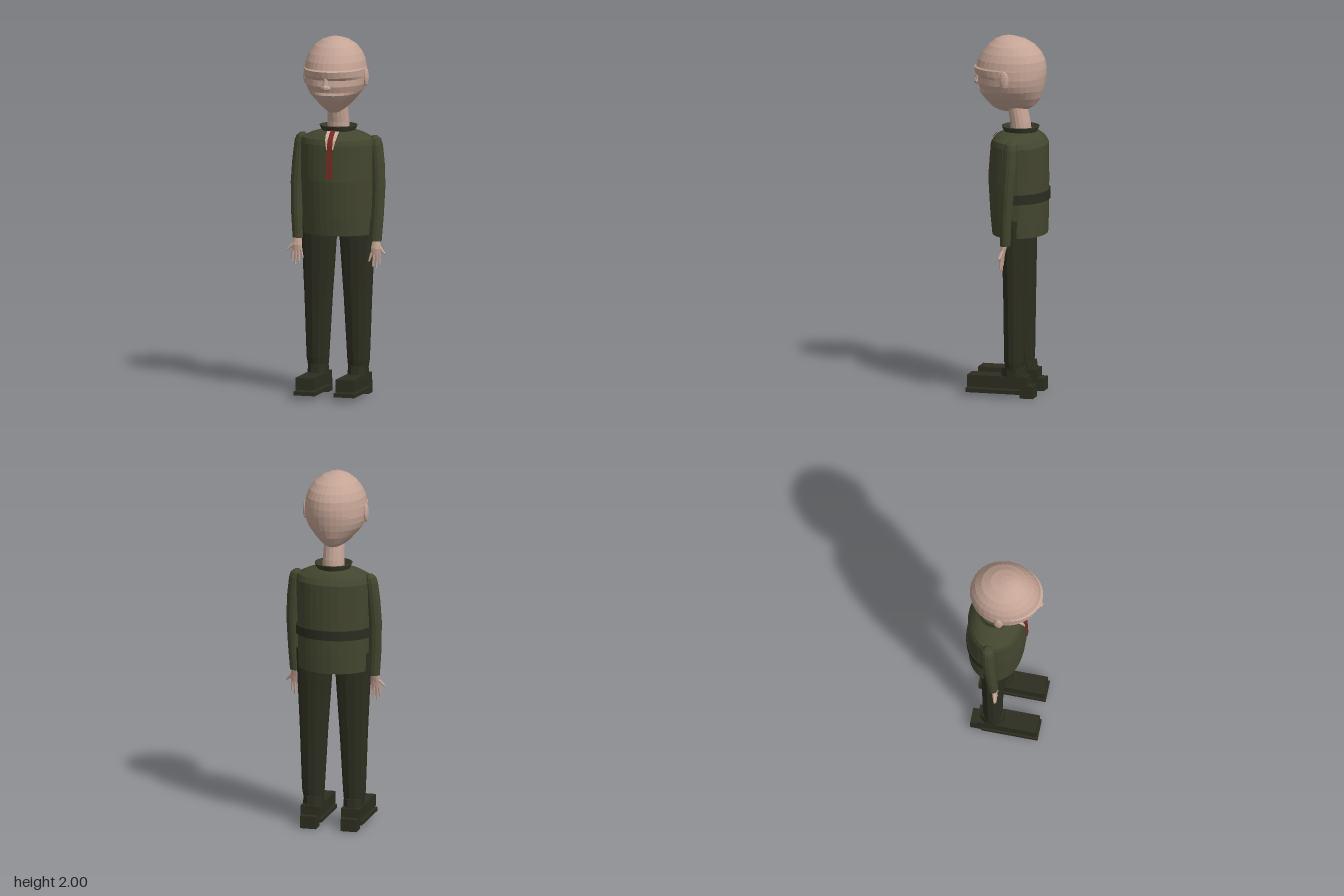
import * as THREE from 'three';

const paint = (name, color, side = THREE.FrontSide) => {
  const m = new THREE.MeshStandardMaterial({ color, flatShading: true, side });
  m.name = name;
  return m;
};

// Closed skin over elliptical rings: [y, centreX, halfWidth, zFront, zBack]
function loft(rings, seg) {
  const pos = [], idx = [], n = rings.length;
  for (const [y, cx, rx, zf, zb] of rings) {
    for (let j = 0; j < seg; j++) {
      const a = ((j + 0.5) / seg) * Math.PI * 2;
      pos.push(cx + rx * Math.sin(a), y, (zf + zb) / 2 + ((zf - zb) / 2) * Math.cos(a));
    }
  }
  for (const r of [rings[0], rings[n - 1]]) pos.push(r[1], r[0], (r[3] + r[4]) / 2);
  for (let j = 0; j < seg; j++) {
    const k = (j + 1) % seg;
    for (let i = 0; i < n - 1; i++) {
      const a = i * seg, b = a + seg;
      idx.push(a + j, a + k, b + k, a + j, b + k, b + j);
    }
    const top = (n - 1) * seg;
    idx.push(n * seg, k, j, n * seg + 1, top + j, top + k);
  }
  const g = new THREE.BufferGeometry();
  g.setAttribute('position', new THREE.Float32BufferAttribute(pos, 3));
  g.setIndex(idx);
  g.computeVertexNormals();
  return g;
}

// Tapered rod between two points
function rod(from, to, r0, r1, sides = 6) {
  const a = new THREE.Vector3(...from), b = new THREE.Vector3(...to);
  const d = b.clone().sub(a);
  const g = new THREE.CylinderGeometry(r1, r0, d.length(), sides);
  g.applyQuaternion(new THREE.Quaternion().setFromUnitVectors(new THREE.Vector3(0, 1, 0), d.normalize()));
  return g.translate(...a.add(b).multiplyScalar(0.5).toArray());
}

// Thin ribbon following a chest profile of [y, z, halfWidth]
function ribbon(profile) {
  const g = new THREE.PlaneGeometry(2, 1, 1, profile.length - 1);
  const p = g.attributes.position;
  for (let i = 0; i < p.count; i++) {
    const [y, z, w] = profile[Math.floor(i / 2)];
    p.setXYZ(i, p.getX(i) * w, y, z);
  }
  g.computeVertexNormals();
  return g;
}

const box = (w, y0, y1, z0, z1, x) =>
  new THREE.BoxGeometry(w, y1 - y0, z1 - z0).translate(x, (y0 + y1) / 2, (z0 + z1) / 2);

export function createModel() {
  const model = new THREE.Group();
  model.name = 'standingMan';
  const skin = paint('skin', 0xc4a495);
  const jacket = paint('jacketGreen', 0x43462f);
  const collarGreen = paint('collarGreen', 0x383b29, THREE.DoubleSide);
  const trousers = paint('trouserGreen', 0x2d2e20);
  const beltDark = paint('beltDark', 0x2b2c20);
  const red = paint('tieRed', 0x7c2a20, THREE.DoubleSide);
  const shirt = paint('shirt', 0xc9b09c, THREE.DoubleSide);

  const add = (name, geo, mat, parent = model) => {
    const m = new THREE.Mesh(geo, mat);
    m.name = name;
    parent.add(m);
    return m;
  };

  // Head with an overhanging brow and narrow chin
  add('head', loft([
    [1.58, 0, 0.025, 0.06, -0.03],
    [1.595, 0, 0.048, 0.1, -0.1],
    [1.62, 0, 0.078, 0.125, -0.14],
    [1.66, 0, 0.115, 0.16, -0.165],
    [1.69, 0, 0.14, 0.18, -0.175],
    [1.705, 0, 0.15, 0.175, -0.18],
    [1.74, 0, 0.165, 0.188, -0.188],
    [1.775, 0, 0.17, 0.183, -0.193],
    [1.79, 0, 0.171, 0.2, -0.195],
    [1.825, 0, 0.171, 0.21, -0.195],
    [1.832, 0, 0.168, 0.196, -0.194],
    [1.87, 0, 0.162, 0.184, -0.188],
    [1.91, 0, 0.145, 0.16, -0.168],
    [1.95, 0, 0.116, 0.127, -0.132],
    [1.98, 0, 0.075, 0.09, -0.08],
    [1.995, 0, 0.036, 0.055, -0.025],
    [2.0, 0, 0.008, 0.026, 0.006],
  ], 32), skin);

  // Nose with nostrils
  const nose = new THREE.Group();
  nose.name = 'nose';
  model.add(nose);
  add('noseBridge', rod([0, 1.735, 0.19], [0, 1.79, 0.188], 0.019, 0.011, 8), skin, nose);
  add('noseTip', new THREE.SphereGeometry(0.019, 8, 6).translate(0, 1.737, 0.196), skin, nose);
  for (const s of [-1, 1])
    add('nostril', new THREE.SphereGeometry(0.012, 8, 6).translate(s * 0.016, 1.733, 0.187), skin, nose);

  // Neck leaning slightly forward
  add('neck', loft([
    [1.44, 0, 0.062, 0.0, -0.115],
    [1.52, 0, 0.06, 0.005, -0.108],
    [1.65, 0, 0.055, 0.03, -0.08],
  ], 16), skin);

  // Jacket body, collar and chest details
  add('jacketBody', loft([
    [0.9, 0, 0.196, 0.1, -0.2],
    [1.0, 0, 0.2, 0.11, -0.204],
    [1.2, 0, 0.206, 0.122, -0.206],
    [1.4, 0, 0.211, 0.108, -0.204],
    [1.43, 0, 0.204, 0.096, -0.186],
    [1.455, 0, 0.15, 0.07, -0.165],
    [1.472, 0, 0.09, 0.03, -0.14],
  ], 32), jacket);
  const collar = new THREE.LatheGeometry(
    [[0.085, 1.455], [0.105, 1.498], [0.096, 1.5], [0.07, 1.46]].map((p) => new THREE.Vector2(...p)), 20);
  add('collar', collar.translate(0, 0, -0.053), collarGreen);
  add('shirtFront', ribbon([
    [1.475, 0.048, 0.034], [1.455, 0.076, 0.034], [1.43, 0.101, 0.03], [1.38, 0.114, 0.02],
  ]), shirt);
  add('tie', ribbon([
    [1.478, 0.05, 0.014], [1.456, 0.079, 0.014], [1.431, 0.104, 0.015],
    [1.4, 0.113, 0.015], [1.3, 0.121, 0.016], [1.22, 0.127, 0.016],
  ]), red);

  // Half belt across the back
  const band = new THREE.Shape();
  band.absellipse(0, 0.042, 0.213, 0.172, 0.1, Math.PI - 0.1, false);
  band.absellipse(0, 0.042, 0.198, 0.157, Math.PI - 0.1, 0.1, true);
  add('backBelt', new THREE.ExtrudeGeometry(band, { depth: 0.053, bevelEnabled: false, curveSegments: 20 })
    .rotateX(-Math.PI / 2).translate(0, 1.092, 0), beltDark);

  for (const s of [-1, 1]) {
    const side = s > 0 ? 'left' : 'right';

    // Ear
    add(side + 'Ear', new THREE.SphereGeometry(1, 12, 8).scale(0.014, 0.052, 0.026)
      .translate(s * 0.173, 1.777, -0.005), skin);

    // Sleeve
    add(side + 'Sleeve', loft([
      [0.865, s * 0.223, 0.032, 0.004, -0.055],
      [1.0, s * 0.231, 0.034, 0.0, -0.062],
      [1.17, s * 0.235, 0.036, -0.008, -0.078],
      [1.3, s * 0.227, 0.037, -0.014, -0.088],
      [1.4, s * 0.217, 0.035, -0.018, -0.092],
      [1.43, s * 0.212, 0.03, -0.024, -0.088],
      [1.446, s * 0.207, 0.014, -0.04, -0.072],
    ], 12), jacket);

    // Hand: palm, four fingers and an outward thumb
    const hand = new THREE.Group();
    hand.name = side + 'Hand';
    model.add(hand);
    add('palm', loft([
      [0.79, s * 0.226, 0.028, 0.0, -0.02],
      [0.825, s * 0.227, 0.029, 0.002, -0.026],
      [0.875, s * 0.225, 0.02, -0.01, -0.04],
    ], 10), skin, hand);
    const fingers = [[0.204, 0.19, 0.752], [0.218, 0.212, 0.725], [0.233, 0.233, 0.718], [0.247, 0.252, 0.735]];
    for (const [x0, x1, y] of fingers)
      add('finger', rod([s * x0, 0.8, -0.01], [s * x1, y, -0.004], 0.0085, 0.005), skin, hand);
    add('thumb', rod([s * 0.242, 0.835, -0.015], [s * 0.282, 0.797, -0.004], 0.011, 0.006), skin, hand);

    // Trouser leg, reaching up beside the jacket hem
    add(side + 'TrouserLeg', loft([
      [0.15, s * 0.115, 0.056, 0.0, -0.096],
      [0.2, s * 0.117, 0.063, 0.007, -0.1],
      [0.55, s * 0.113, 0.08, 0.012, -0.106],
      [0.88, s * 0.109, 0.1, 0.02, -0.112],
      [1.0, s * 0.111, 0.102, 0.015, -0.115],
    ], 12), trousers);

    // Shoe: ankle cuff, upper, thin sole and heel
    const shoe = new THREE.Group();
    shoe.name = side + 'Shoe';
    model.add(shoe);
    add('ankleCuff', loft([
      [0.1, s * 0.115, 0.058, 0.028, -0.122],
      [0.165, s * 0.115, 0.056, 0.018, -0.112],
    ], 8), trousers, shoe);
    add('upper', box(0.106, 0.053, 0.12, -0.128, 0.207, s * 0.115), trousers, shoe);
    add('sole', box(0.12, 0.023, 0.045, -0.1, 0.215, s * 0.115), trousers, shoe);
    add('heel', box(0.09, 0, 0.07, -0.165, -0.09, s * 0.115), trousers, shoe);
  }
  return model;
}
